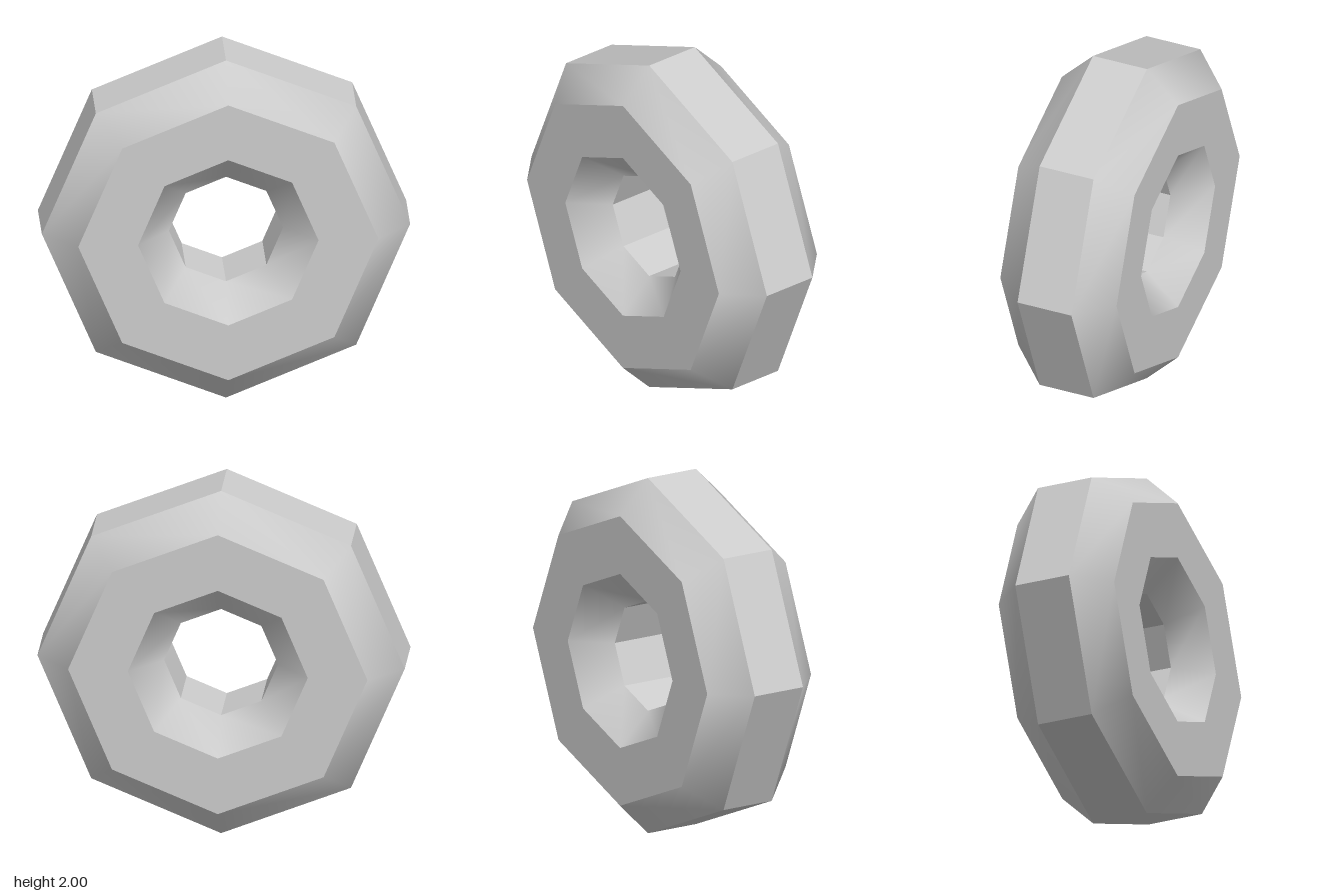
import * as THREE from 'three';
import { toCreasedNormals } from 'three/addons/utils/BufferGeometryUtils.js';

export function createModel() {
  const group = new THREE.Group();
  const material = new THREE.MeshStandardMaterial({ color: 0xcccccc });

  // Chamfered ring cross-section: (radius, depth), outer band, front face, inner band, back face
  const half = [[1, 0.16], [0.815, 0.345], [0.49, 0.345], [0.31, 0.16]];
  const back = half.map(([r, d]) => [r, -d]).reverse();
  const profile = [...half, ...back, half[0]].map(([r, d]) => new THREE.Vector2(r, d));

  // Eight-sided ring, stood upright with a corner at the top;
  // chamfers shade smoothly around the ring, bands and faces stay crisp
  const lathe = new THREE.LatheGeometry(profile, 8).rotateX(Math.PI / 2);
  const geometry = toCreasedNormals(lathe, THREE.MathUtils.degToRad(38));

  const ring = new THREE.Mesh(geometry, material);
  ring.name = 'octagonalRing';
  ring.position.y = 1;
  group.add(ring);
  return group;
}
